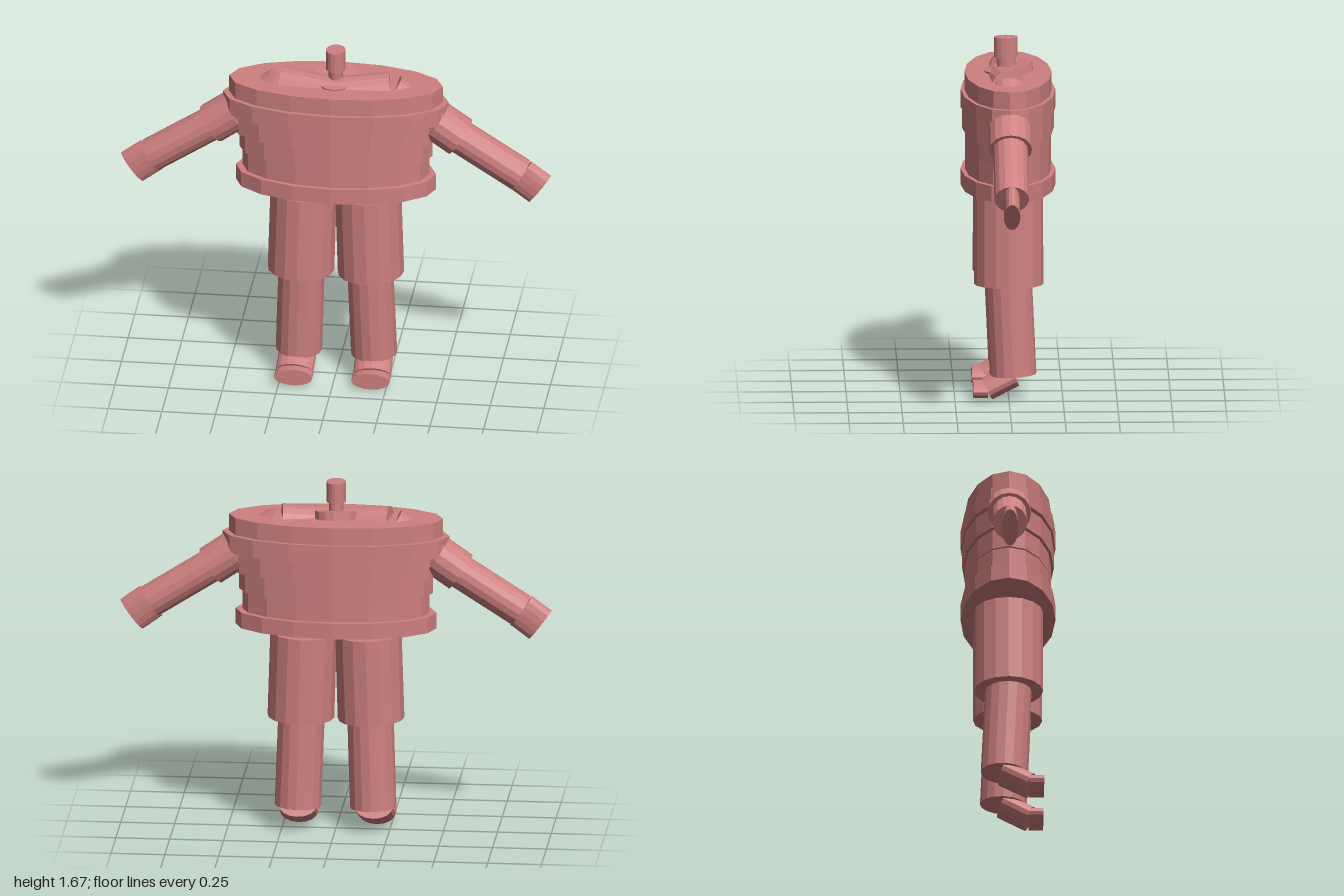
import * as THREE from 'three';

const SIDES = 16;

export function createModel() {
  const model = new THREE.Group();
  model.name = 'blockFigure';
  const skin = new THREE.MeshStandardMaterial({ color: 0xcd7f7f, flatShading: true });
  skin.name = 'dusty pink';

  // Elliptical cylinder from a to b; rSide is the radius along the side vector, rOther across it
  function segment(name, a, b, rSide, rOther, side) {
    const start = new THREE.Vector3(...a), end = new THREE.Vector3(...b);
    const axis = end.clone().sub(start);
    const geo = new THREE.CylinderGeometry(1, 1, axis.length(), SIDES);
    geo.scale(rSide, 1, rOther);
    axis.normalize();
    const u = new THREE.Vector3(...side);
    u.addScaledVector(axis, -u.dot(axis)).normalize();
    const w = new THREE.Vector3().crossVectors(u, axis);
    geo.applyMatrix4(new THREE.Matrix4().makeBasis(u, axis, w));
    const mesh = new THREE.Mesh(geo, skin);
    mesh.name = name;
    mesh.position.copy(start).add(end).multiplyScalar(0.5);
    model.add(mesh);
  }
  const X = [1, 0, 0], Z = [0, 0, 1];

  // Torso: stacked elliptical bands [name, bottom, top, rx, rz]
  const bands = [
    ['hips', 0.985, 1.06, 0.467, 0.22],
    ['waist', 1.06, 1.155, 0.435, 0.2],
    ['belly', 1.155, 1.25, 0.45, 0.2],
    ['ribs', 1.25, 1.35, 0.48, 0.212],
    ['chest', 1.35, 1.433, 0.527, 0.22],
    ['upperChest', 1.433, 1.515, 0.498, 0.202],
  ];
  for (const [name, y0, y1, rx, rz] of bands) segment(name, [0, y0, 0], [0, y1, 0], rx, rz, X);

  // Neck and head
  segment('neckBase', [0, 1.505, -0.007], [0, 1.542, 0], 0.1, 0.113, X);
  segment('neck', [0, 1.53, 0.005], [0, 1.59, 0.01], 0.034, 0.045, X);
  segment('head', [0, 1.585, 0.01], [0, 1.68, 0.01], 0.045, 0.055, X);

  // Mirrored limbs
  for (const [s, label] of [[1, 'left'], [-1, 'right']]) {
    const limb = (name, a, b, rSide, rOther, side) =>
      segment(label + name, [s * a[0], a[1], a[2]], [s * b[0], b[1], b[2]], rSide, rOther, side);

    // Arm chain
    limb('Collarbone', [0, 1.455, 0.033], [0.255, 1.48, 0], 0.086, 0.088, Z);
    limb('Shoulder', [0.26, 1.475, 0], [0.47, 1.34, 0], 0.085, 0.085, Z);
    limb('UpperArm', [0.468, 1.34, 0], [0.58, 1.262, 0], 0.1, 0.095, Z);
    limb('Forearm', [0.58, 1.262, 0], [0.86, 1.083, 0], 0.08, 0.08, Z);
    limb('Hand', [0.86, 1.083, 0], [0.95, 1.016, 0], 0.038, 0.087, Z);

    // Leg chain
    limb('Thigh', [0.15, 0.957, 0], [0.163, 0.547, 0], 0.155, 0.16, X);
    limb('Shin', [0.16, 0.56, 0], [0.175, 0.122, -0.02], 0.108, 0.108, X);
    limb('Ankle', [0.177, 0.119, -0.024], [0.181, 0.056, 0.1], 0.088, 0.054, X);
    limb('Toes', [0.18, 0.054, 0.097], [0.18, 0.054, 0.165], 0.089, 0.04, X);
  }
  return model;
}
